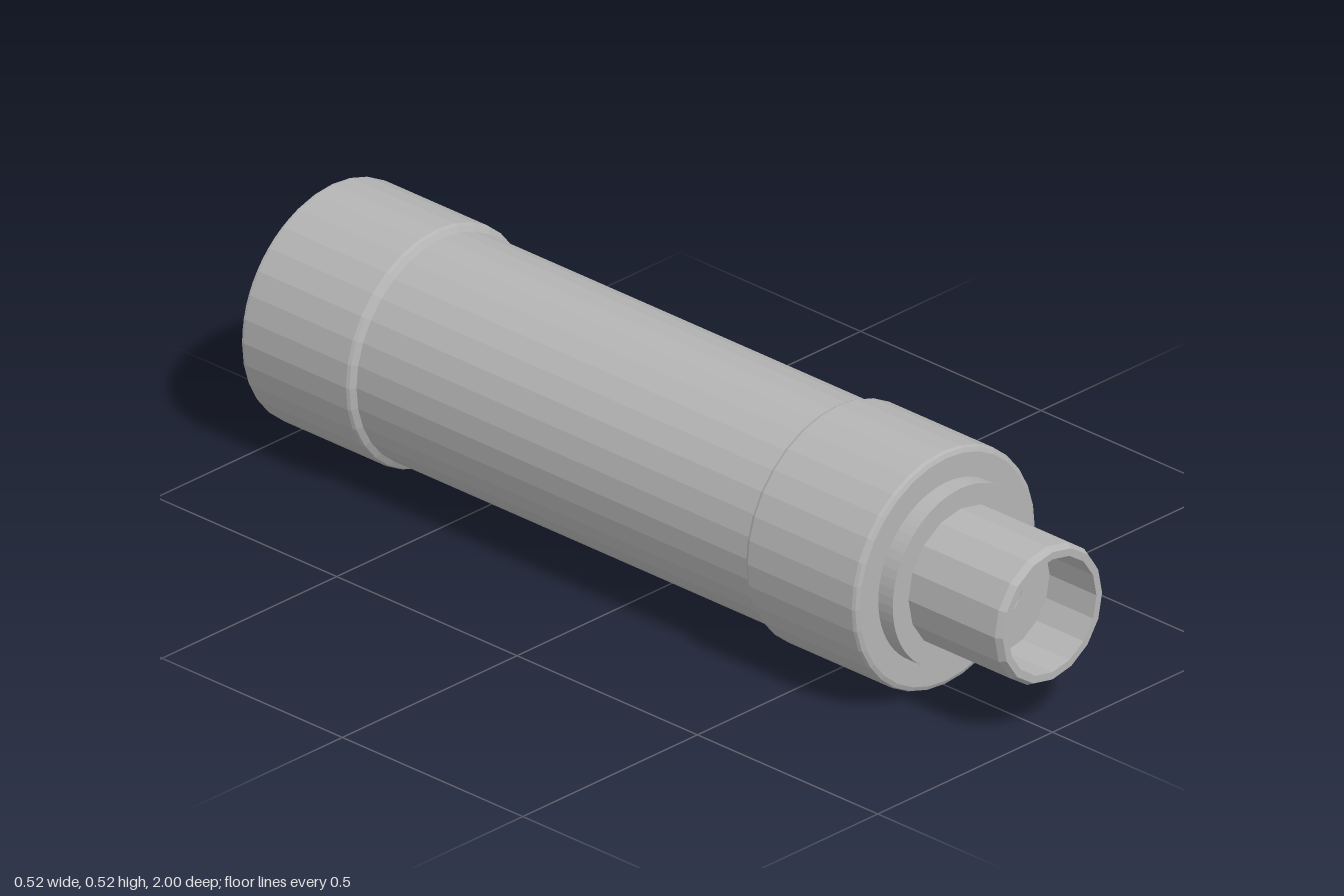
import * as THREE from 'three';

export function createModel() {
  const group = new THREE.Group();
  const metal = new THREE.MeshStandardMaterial({ color: 0xb4b4b4, flatShading: true });
  metal.name = 'greyMetal';
  const axisY = 0.26, boreR = 0.047;

  const add = (name, geometry) => {
    const mesh = new THREE.Mesh(geometry, metal);
    mesh.name = name;
    mesh.position.y = axisY;
    group.add(mesh);
    return mesh;
  };

  // Turned part along z; profile is [radius, z] from back to front
  const turned = (name, profile, sides) => {
    const points = profile.map(([r, z]) => new THREE.Vector2(r, z));
    return add(name, new THREE.LatheGeometry(points, sides).rotateX(Math.PI / 2));
  };

  // Main tube and the two end caps
  turned('body', [[0.245, -0.72], [0.245, 0.42]], 32);
  turned('rearCap', [[0.254, -1], [0.259, -0.996], [0.26, -0.99], [0.26, -0.707],
    [0.257, -0.7], [0.245, -0.692]], 32);
  turned('frontCap', [[0.245, 0.392], [0.257, 0.4], [0.26, 0.407], [0.26, 0.695],
    [0.257, 0.702], [0.248, 0.706], [0.18, 0.706]], 32);

  // Stepped collar and hollow neck with a recessed floor
  turned('collar', [[0.195, 0.705], [0.195, 0.746], [0.13, 0.746]], 64);
  turned('neck', [[0.15, 0.74], [0.15, 0.985], [0.142, 1], [0.126, 1], [0.126, 0.87]], 16);
  turned('neckFloor', [[0.135, 0.87], [boreR, 0.87]], 32);

  // Bore running right through
  turned('bore', [[boreR, 0.87], [boreR, -0.96]], 32);

  // Rear plate with the bore opening and a ring of blind holes
  const plate = new THREE.Shape().absarc(0, 0, 0.254, 0, Math.PI * 2);
  const hole = (x, y, r) =>
    plate.holes.push(new THREE.Path().absarc(x, y, r, 0, Math.PI * 2, true));
  hole(0, 0, boreR);
  for (let i = 0; i < 6; i++) {
    const a = Math.PI / 2 + i * Math.PI / 3;
    const x = 0.088 * Math.cos(a), y = 0.088 * Math.sin(a);
    hole(x, y, 0.016);
    const floor = add('boltHoleFloor', new THREE.CircleGeometry(0.018, 24).rotateY(Math.PI));
    floor.position.set(x, axisY + y, -0.95);
  }
  add('rearPlate', new THREE.ExtrudeGeometry(plate, {
    depth: 0.06, bevelEnabled: false, curveSegments: 32,
  }).translate(0, 0, -1));

  return group;
}
